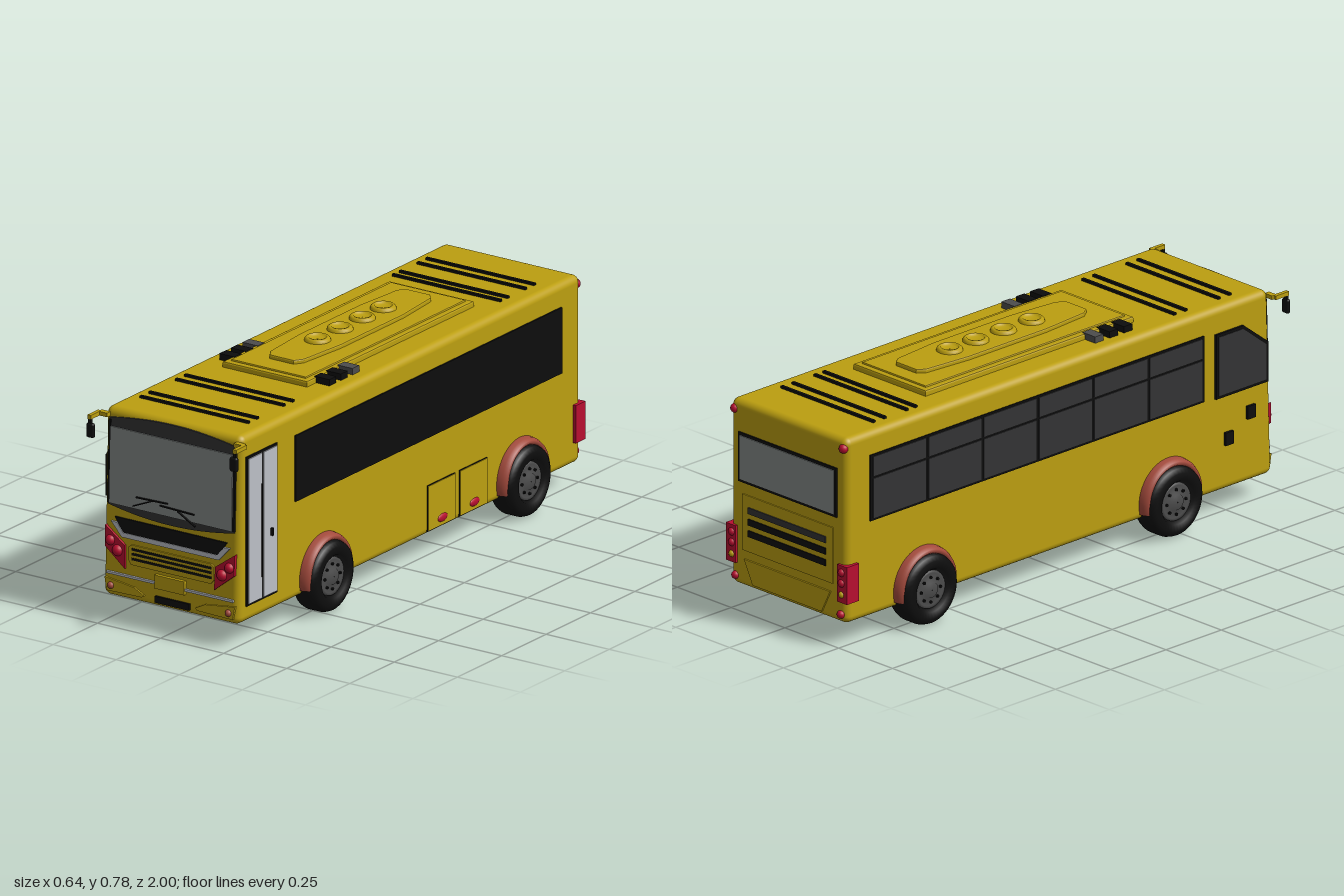
import * as THREE from 'three';
import { RoundedBoxGeometry } from 'three/addons/geometries/RoundedBoxGeometry.js';

const mat = (name, color, extra = {}) => Object.assign(new THREE.MeshStandardMaterial({ color, ...extra }), { name });

export function createModel() {
  const yellow = mat('yellow paint', 0xbc9f10);
  const black = mat('black trim', 0x0d0d0d);
  const glass = mat('pale glass', 0x858a89);
  const darkGlass = mat('dark glass', 0x333334);
  const silver = mat('silver', 0xbcbfc6);
  const red = mat('red lamp', 0xb80e30);
  const clay = mat('clay red', 0xa34a3c, { side: THREE.DoubleSide });
  const hubGrey = mat('hub grey', 0x4c4c4c);

  const bus = new THREE.Group();
  bus.name = 'bus';
  const W = 0.27, Y0 = 0.08, Y1 = 0.725, ZF = 0.945, ZB = -0.985;
  const lean = y => -0.018 * (y - Y0) / (Y1 - Y0); // windscreen slope

  function add(name, geometry, material, x = 0, y = 0, z = 0) {
    const m = new THREE.Mesh(geometry, material);
    m.name = name;
    m.position.set(x, y, z);
    bus.add(m);
    return m;
  }
  const box = (name, m, w, h, d, x, y, z) => add(name, new THREE.BoxGeometry(w, h, d), m, x, y, z);
  const ball = (name, m, r, x, y, z) => add(name, new THREE.SphereGeometry(r, 16, 10), m, x, y, z);
  const rect = (a0, a1, b0, b1) => [[a0, b0], [a1, b0], [a1, b1], [a0, b1]];
  const flip = pts => pts.map(([a, b]) => [-a, b]);

  // Thin plate on a face: front/back outlines use (x, y), left/right use (z, y)
  function plate(name, m, face, pts, depth = 0.005, sunk = 0.003) {
    const sign = face === 'left' || face === 'back' ? -1 : 1;
    const shape = new THREE.Shape(pts.map(([a, b]) => new THREE.Vector2(a * sign, b)));
    const g = new THREE.ExtrudeGeometry(shape, { depth: depth + sunk, bevelEnabled: false });
    g.translate(0, 0, -sunk);
    if (face === 'front') {
      const p = g.attributes.position;
      for (let i = 0; i < p.count; i++) p.setZ(i, p.getZ(i) + lean(p.getY(i)));
      g.computeVertexNormals();
      return add(name, g, m, 0, 0, ZF);
    }
    if (face === 'back') return add(name, g.rotateY(Math.PI), m, 0, 0, ZB);
    const s = face === 'left' ? 1 : -1;
    return add(name, g.rotateY(s * Math.PI / 2), m, s * W, 0, 0);
  }
  // outlines on the sides are given in z; left face (+x) runs along -z after the turn

  // Body shell, front leaning slightly back
  const shell = new RoundedBoxGeometry(2 * W, Y1 - Y0, ZF - ZB, 4, 0.025);
  shell.translate(0, (Y0 + Y1) / 2, (ZF + ZB) / 2);
  const sp = shell.attributes.position;
  for (let i = 0; i < sp.count; i++) if (sp.getZ(i) > 0) sp.setZ(i, sp.getZ(i) + lean(sp.getY(i)));
  add('body', shell, yellow);

  // Windscreen with bowed surround
  const bow = [];
  for (let i = 0; i <= 16; i++) { const t = i / 8 - 1; bow.push([0.25 * t, 0.37 + 0.025 * t * t]); }
  for (let i = 16; i >= 0; i--) { const t = i / 8 - 1; bow.push([0.25 * t, 0.713 - 0.022 * t * t]); }
  plate('windscreenSurround', darkGlass, 'front', bow, 0.004);
  plate('windscreen', glass, 'front', rect(-0.243, 0.241, 0.4, 0.662), 0.008);
  for (const x of [-0.247, 0.247]) plate('windscreenPillar', black, 'front', rect(x - 0.004, x + 0.004, 0.4, 0.685), 0.007);

  // Wipers
  const wiper = (x0, y0, x1, y1) => {
    const w = 0.002;
    plate('wiper', black, 'front', [[x0, y0 - w], [x1, y1 - w], [x1, y1 + w], [x0, y0 + w]], 0.015, -0.009);
  };
  wiper(-0.145, 0.41, -0.07, 0.442);
  wiper(-0.135, 0.442, -0.01, 0.445);
  wiper(0.1, 0.39, 0.03, 0.428);
  wiper(-0.04, 0.433, 0.095, 0.429);

  // Front grilles
  plate('upperGrille', black, 'front', [[-0.222, 0.357], [0.222, 0.357], [0.188, 0.309], [-0.188, 0.309]], 0.006);
  plate('grilleTrim', silver, 'front', [[-0.235, 0.34], [-0.212, 0.34], [-0.186, 0.309], [0.186, 0.309],
    [0.212, 0.34], [0.235, 0.34], [0.192, 0.293], [-0.192, 0.293]], 0.008);
  plate('lowerGrillePanel', yellow, 'front', [[-0.155, 0.205], [0.16, 0.205], [0.173, 0.22], [0.173, 0.265],
    [0.16, 0.273], [-0.155, 0.273], [-0.166, 0.265], [-0.166, 0.22]], 0.005);
  [0.226, 0.243, 0.259].forEach(y => plate('grilleSlot', black, 'front', rect(-0.152, 0.164, y - 0.004, y + 0.004), 0.007));
  plate('bumperStrip', silver, 'front', rect(-0.25, 0.25, 0.159, 0.167), 0.008);
  plate('frontPanel', yellow, 'front', rect(-0.057, 0.061, 0.147, 0.193), 0.012);
  plate('lowerIntake', black, 'front', rect(-0.057, 0.079, 0.097, 0.119), 0.008);

  // Headlights and fog lamps
  const lamp = [[0.257, 0.323], [0.18, 0.268], [0.177, 0.188], [0.255, 0.25]];
  const fogPanel = [[0.258, 0.145], [0.14, 0.13], [0.1, 0.11], [0.11, 0.103], [0.25, 0.1]];
  for (const s of [-1, 1]) {
    plate('headlight', red, 'front', s > 0 ? lamp : flip(lamp), 0.009, 0.02);
    ball('headlightBulb', red, 0.018, s * 0.236, 0.275, ZF);
    ball('headlightBulb', red, 0.02, s * 0.207, 0.245, ZF);
    plate('fogPanel', yellow, 'front', s > 0 ? fogPanel : flip(fogPanel), 0.006);
    ball('fogLamp', clay, 0.012, s * 0.233, 0.12, ZF + 0.004);
    // Wing mirrors
    box('mirrorArm', yellow, 0.035, 0.014, 0.02, s * 0.268, 0.7, 0.935);
    box('mirrorArm', yellow, 0.014, 0.014, 0.06, s * 0.288, 0.7, 0.963);
    box('mirrorStem', black, 0.01, 0.025, 0.01, s * 0.287, 0.685, 0.988);
    add('mirror', new RoundedBoxGeometry(0.03, 0.05, 0.016, 2, 0.007), black, s * 0.284, 0.655, 0.99);
  }

  // Sides: outlines in (z, y); the turn reverses z on the door side
  const side = (name, m, s, pts, depth, sunk) => plate(name, m, s > 0 ? 'left' : 'right', pts, depth, sunk);

  // Door side
  side('windowBand', black, 1, rect(-0.87, 0.63, 0.418, 0.645), 0.006);
  side('doorFrame', black, 1, rect(0.733, 0.906, 0.138, 0.652), 0.006);
  side('doorLeaf', silver, 1, rect(0.74, 0.816, 0.146, 0.645), 0.01);
  side('doorLeaf', silver, 1, rect(0.823, 0.899, 0.146, 0.645), 0.01);
  box('doorBar', black, 0.006, 0.32, 0.005, W + 0.011, 0.38, 0.828);
  box('doorHandle', black, 0.014, 0.025, 0.008, W + 0.012, 0.36, 0.775);
  for (const z of [-0.195, -0.375]) {
    side('hatchOutline', black, 1, rect(z - 0.079, z + 0.079, 0.093, 0.252), 0.0015);
    side('hatch', yellow, 1, rect(z - 0.076, z + 0.076, 0.096, 0.249), 0.004);
    ball('hatchMarker', red, 0.028, W + 0.003, 0.12, z - 0.004).scale.set(0.25, 0.5, 1);
  }

  // Driver side
  side('windowFrame', black, -1, rect(-0.88, 0.63, 0.415, 0.645), 0.004);
  const pitch = 1.5 / 6;
  for (let i = 0; i < 6; i++) {
    const z = -0.875 + i * pitch;
    side('windowPane', darkGlass, -1, rect(z + 0.006, z + pitch - 0.006, 0.424, 0.562), 0.007);
    side('windowVent', darkGlass, -1, rect(z + 0.006, z + pitch - 0.006, 0.57, 0.638), 0.007);
  }
  side('driverWindowFrame', black, -1, [[0.68, 0.41], [0.68, 0.635], [0.805, 0.635], [0.915, 0.55], [0.915, 0.41]], 0.008);
  side('driverWindow', darkGlass, -1, [[0.69, 0.42], [0.69, 0.625], [0.8, 0.625], [0.905, 0.543], [0.905, 0.42]], 0.0095);
  box('sideVent', black, 0.02, 0.045, 0.035, -W, 0.325, 0.84);
  box('sideVent', black, 0.02, 0.045, 0.035, -W, 0.26, 0.74);

  // Wheels and arches, built along the x axis
  const V = (r, x) => new THREE.Vector2(r, x);
  const turned = (pts, start, length) => new THREE.LatheGeometry(pts, 40, start, length).rotateZ(-Math.PI / 2);
  const tyre = turned([V(0.001, 0.225), V(0.1, 0.225), V(0.116, 0.235), V(0.121, 0.25), V(0.121, 0.295),
    V(0.115, 0.311), V(0.1, 0.32), V(0.075, 0.318), V(0.066, 0.303), V(0.001, 0.303)]);
  const hub = turned([V(0.066, 0.3), V(0.064, 0.308), V(0.056, 0.306), V(0.03, 0.306), V(0.026, 0.315), V(0.001, 0.315)]);
  const arch = turned([V(0.108, 0.24), V(0.108, 0.298), V(0.115, 0.305), V(0.123, 0.302), V(0.13, 0.288),
    V(0.132, 0.27), V(0.132, 0.24)], Math.PI - 0.25, Math.PI + 0.5);
  const bolt = new THREE.CylinderGeometry(0.005, 0.005, 0.008, 8).rotateZ(Math.PI / 2);
  for (const z of [0.47, -0.64]) for (const s of [-1, 1]) {
    const turn = s > 0 ? 0 : Math.PI;
    add('tyre', tyre, black, 0, 0.121, z).rotation.y = turn;
    add('hub', hub, hubGrey, 0, 0.121, z).rotation.y = turn;
    add('wheelArch', arch, clay, 0, 0.133, z).rotation.y = turn;
    for (let i = 0; i < 8; i++) {
      const a = i * Math.PI / 4;
      add('wheelBolt', bolt, black, s * 0.308, 0.121 + 0.043 * Math.sin(a), z + 0.043 * Math.cos(a));
    }
  }

  // Back
  plate('rearWindowFrame', black, 'back', rect(-0.228, 0.228, 0.445, 0.617), 0.005);
  plate('rearWindow', glass, 'back', rect(-0.219, 0.219, 0.455, 0.607), 0.008);
  plate('enginePanel', yellow, 'back', rect(-0.21, 0.21, 0.21, 0.405), 0.004);
  [[0.355, darkGlass], [0.315, black], [0.275, black]].forEach(([y, m]) =>
    plate('engineVent', m, 'back', rect(-0.18, 0.18, y - 0.011, y + 0.011), 0.008));
  plate('rearBumperPanel', yellow, 'back', [[-0.16, 0.1], [0.16, 0.1], [0.2, 0.18], [-0.2, 0.18]], 0.006);
  for (const s of [-1, 1]) {
    box('tailLight', red, 0.045, 0.13, 0.055, s * 0.259, 0.222, -0.966);
    ball('tailBulb', red, 0.014, s * 0.255, 0.262, -0.99);
    ball('tailBulb', red, 0.014, s * 0.255, 0.225, -0.99);
    ball('tailBulb', yellow, 0.012, s * 0.255, 0.185, -0.99);
    ball('cornerMarker', red, 0.016, s * 0.252, 0.69, -0.98);
    ball('cornerMarker', red, 0.014, s * 0.245, 0.112, -0.985);
  }

  // Roof ribs
  for (const z of [-0.81, -0.76, -0.66, -0.62, 0.55, 0.6, 0.75, 0.8])
    box('roofRib', black, 0.43, 0.012, 0.011, -0.005, 0.727, z);

  // Roof unit: stacked slabs, outlines in (x, z)
  function slab(name, pts, y, h, bevel) {
    const shape = new THREE.Shape(pts.map(([x, z]) => new THREE.Vector2(x, -z)));
    const g = new THREE.ExtrudeGeometry(shape, { depth: h - bevel, bevelThickness: bevel, bevelSize: bevel, bevelOffset: -bevel, bevelSegments: 2 });
    add(name, g.rotateX(-Math.PI / 2), yellow, 0, y, 0);
  }
  slab('roofUnitBase', rect(-0.17, 0.165, -0.53, 0.41), 0.72, 0.025, 0.006);
  slab('roofUnitStep', rect(-0.15, 0.145, -0.51, 0.39), 0.735, 0.016, 0.004);
  slab('roofPod', [[-0.05, -0.455], [0.045, -0.455], [0.065, -0.43], [0.083, -0.25], [0.083, 0.1], [0.065, 0.285],
    [0.045, 0.315], [-0.05, 0.315], [-0.07, 0.285], [-0.086, 0.1], [-0.086, -0.25], [-0.07, -0.43]], 0.745, 0.02, 0.005);
  const fan = new THREE.LatheGeometry([V(0.044, 0), V(0.042, 0.009), V(0.036, 0.014), V(0.029, 0.013), V(0.026, 0.005), V(0.001, 0.005)], 28);
  for (const z of [-0.258, -0.14, -0.015, 0.112]) add('roofFan', fan, yellow, -0.003, 0.764, z);

  // Roof side vents
  for (const s of [-1, 1]) [[0.21, hubGrey], [0.275, black], [0.34, black]].forEach(([z, m]) =>
    box('roofVent', m, 0.06, 0.026, 0.038, s * 0.188, 0.734, z));

  // Sides were laid out along +z
  return bus;
}
